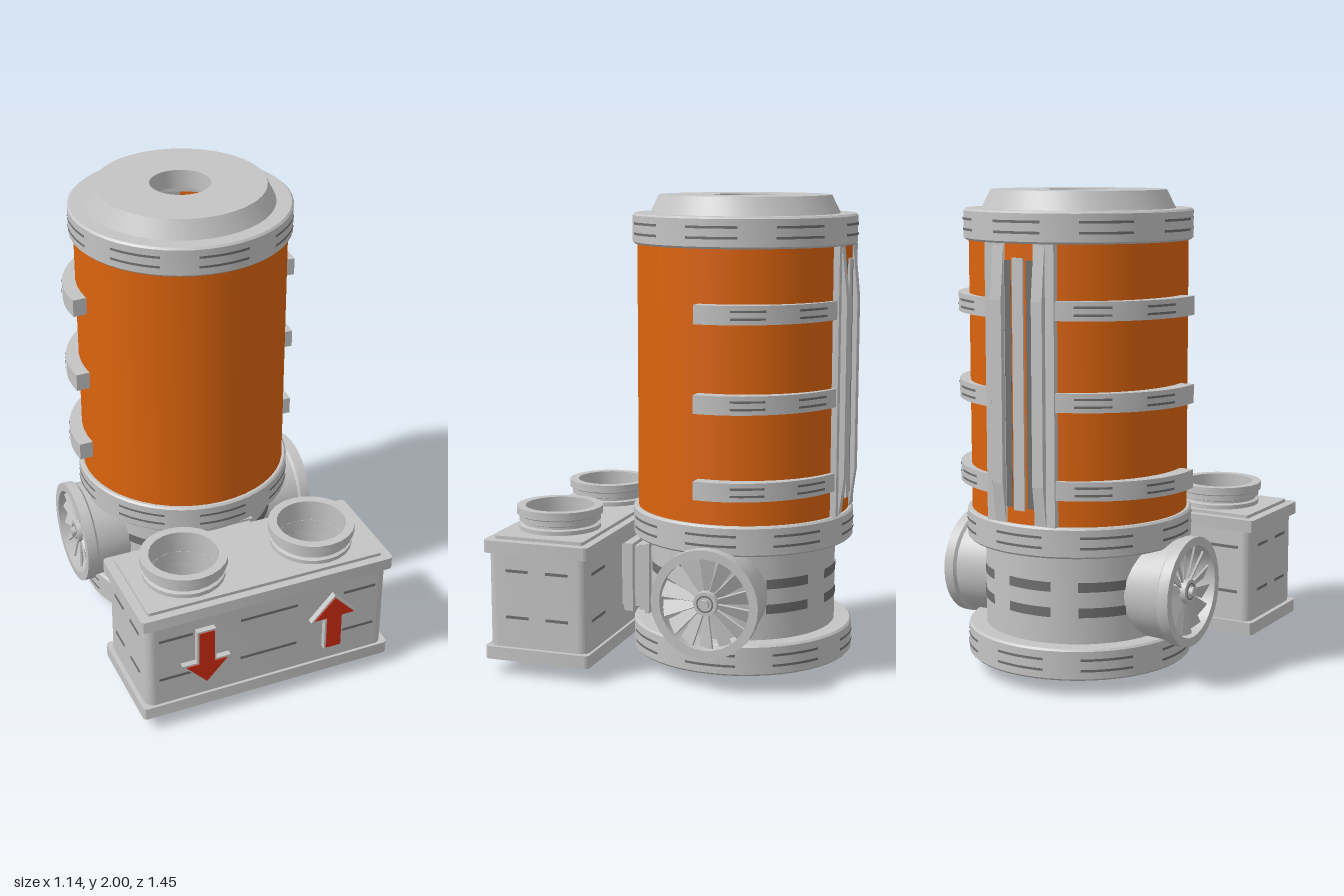
import * as THREE from 'three';
import { toCreasedNormals } from 'three/addons/utils/BufferGeometryUtils.js';

const mat = (name, color, side = THREE.FrontSide) => {
  const m = new THREE.MeshStandardMaterial({ color, side });
  m.name = name;
  return m;
};

export function createModel() {
  const grey = mat('light grey', 0xc4c4c4, THREE.DoubleSide);
  const dark = mat('dark grey', 0x707070, THREE.DoubleSide);
  const orange = mat('orange', 0xdd640e, THREE.DoubleSide);
  const red = mat('red', 0xd02c10);

  const model = new THREE.Group();
  const add = (parent, name, geo, material, x = 0, y = 0, z = 0) => {
    const m = new THREE.Mesh(geo, material);
    m.name = name;
    m.position.set(x, y, z);
    parent.add(m);
    return m;
  };
  const group = (parent, name, x = 0, y = 0, z = 0) => {
    const g = new THREE.Group();
    g.name = name;
    g.position.set(x, y, z);
    parent.add(g);
    return g;
  };
  // closed profile of [radius, height] pairs, outside going up
  const lathe = (pts, seg = 48) => toCreasedNormals(new THREE.LatheGeometry(
    [...pts, pts[0]].map(p => new THREE.Vector2(...p)), seg), 0.5);
  const hoop = (ri, ro, y0, y1, b = 0.008) =>
    lathe([[ri, y0], [ro - b, y0], [ro, y0 + b], [ro, y1 - b], [ro - b, y1], [ri, y1]]);
  // thin curved mark on a cylinder
  const mark = (parent, r, y, h, angle, len) => add(parent, 'slot',
    new THREE.CylinderGeometry(r, r, h, 10, 1, true, angle - len / 2, len), dark, 0, y, 0);

  // ---- tower ----
  const tower = group(model, 'tower', 0, 0, -0.255);
  add(tower, 'tank', new THREE.CylinderGeometry(0.45, 0.45, 1.13, 48, 1, true), orange, 0, 1.245, 0);
  add(tower, 'topRing', hoop(0.36, 0.47, 1.8, 1.925), grey);
  add(tower, 'topCap', lathe([[0.128, 1.92], [0.4, 1.92], [0.36, 2], [0.128, 2]]), grey);
  add(tower, 'upperRing', hoop(0.147, 0.47, 0.565, 0.69), grey);
  add(tower, 'column', hoop(0.375, 0.395, 0.17, 0.57, 0), grey);
  add(tower, 'lowerRing', hoop(0.385, 0.47, 0.065, 0.195), grey);
  add(tower, 'stem', hoop(0.135, 0.147, 0, 0.57, 0), grey);
  for (let i = 0; i < 8; i++) {
    const a = i * Math.PI / 4;
    for (const y of [0.108, 0.152, 0.608, 0.65, 1.843, 1.885]) mark(tower, 0.473, y, 0.01, a, 0.46);
    if (i % 4 !== 2) for (const y of [0.325, 0.43]) mark(tower, 0.398, y, 0.04, a, 0.5);
  }

  // ---- straps curving round the back half, from each side to the rear panel ----
  for (const s of [1, -1]) {
    for (const y of [0.838, 1.188, 1.545]) {
      const shape = new THREE.Shape();
      const n = 16, a0 = -0.13, a1 = 1.3;
      for (let i = 0; i <= n; i++) {
        const a = a0 + (a1 - a0) * i / n;
        shape.lineTo(0.51 * Math.cos(a), 0.462 * Math.sin(a));
      }
      for (let i = n; i >= 0; i--) {
        const a = a0 + (a1 - a0) * i / n;
        shape.lineTo(0.445 * Math.cos(a), 0.445 * Math.sin(a));
      }
      shape.curves.shift();
      const geo = new THREE.ExtrudeGeometry(shape, { depth: 0.076, bevelEnabled: false });
      geo.rotateX(-Math.PI / 2);
      const strap = group(tower, 'strap', 0, y, 0);
      add(strap, 'band', toCreasedNormals(geo, 0.5), grey, 0, -0.038, 0);
      for (const a of [Math.PI / 2 + 0.35, Math.PI / 2 + 0.95])
        for (const dy of [-0.015, 0.015])
          mark(strap, 0.513, dy, 0.009, a, 0.3).scale.z = 0.91;
      strap.scale.x = s;
    }
  }

  // ---- rear panel ----
  const panel = group(tower, 'rearPanel');
  add(panel, 'backPlate', new THREE.BoxGeometry(0.32, 1.11, 0.045), grey, 0, 1.245, -0.4225);
  const finSide = new THREE.Shape([[0.4, 0.69], [0.447, 0.69], [0.468, 0.85],
    [0.468, 1.58], [0.447, 1.79], [0.4, 1.79]].map(p => new THREE.Vector2(...p)));
  for (const s of [-1, 1]) {
    const rail = new THREE.ExtrudeGeometry(finSide, { depth: 0.05, bevelEnabled: false });
    rail.translate(0, 0, -0.025).rotateY(Math.PI / 2);
    add(panel, 'rail', rail, grey, s * 0.095, 0, 0);
    add(panel, 'railSlot', new THREE.BoxGeometry(0.03, 0.98, 0.006), dark, s * 0.05, 1.245, -0.446);
  }
  add(panel, 'centreStrip', new THREE.BoxGeometry(0.05, 1.0, 0.02), grey, 0, 1.245, -0.446);

  // ---- side fans ----
  const blade = new THREE.ExtrudeGeometry(new THREE.Shape([[-0.012, 0.04], [0.012, 0.04],
    [0.036, 0.192], [-0.036, 0.192]].map(p => new THREE.Vector2(...p))), { depth: 0.008, bevelEnabled: false });
  const housing = lathe([[0.19, 0], [0.205, 0], [0.215, 0.19], [0.227, 0.2], [0.227, 0.245], [0.19, 0.245]], 32);
  housing.rotateX(Math.PI / 2);
  for (const s of [1, -1]) {
    const fan = group(tower, 'fan', s * 0.3, 0.38, 0);
    fan.rotation.y = s * Math.PI / 2;
    add(fan, 'fanHousing', housing, grey);
    for (let i = 0; i < 14; i++) {
      const spoke = group(fan, 'spoke', 0, 0, 0.2);
      spoke.rotation.z = i * Math.PI / 7;
      add(spoke, 'blade', blade, grey).rotation.y = 0.45;
    }
    add(fan, 'hub', new THREE.CylinderGeometry(0.05, 0.055, 0.05, 20).rotateX(Math.PI / 2), grey, 0, 0, 0.205);
    add(fan, 'hubCap', new THREE.CylinderGeometry(0.02, 0.02, 0.02, 12).rotateX(Math.PI / 2), grey, 0, 0, 0.238);
    add(fan, 'hubGroove', new THREE.RingGeometry(0.03, 0.036, 20), dark, 0, 0, 0.2315);
  }

  // ---- port box ----
  const box = group(model, 'portBox', 0, 0, 0.475);
  const portX = 0.293, portR = 0.147;
  const roundRect = (w, d, r, Type = THREE.Shape) => {
    const p = new Type(), x = w / 2, y = d / 2;
    p.absarc(x - r, y - r, r, 0, Math.PI / 2);
    p.absarc(-x + r, y - r, r, Math.PI / 2, Math.PI);
    p.absarc(-x + r, -y + r, r, Math.PI, Math.PI * 1.5);
    p.absarc(x - r, -y + r, r, Math.PI * 1.5, Math.PI * 2);
    p.closePath();
    return p;
  };
  const portHoles = () => [-1, 1].map(s => new THREE.Path().absarc(s * portX, 0, portR, 0, Math.PI * 2, true));
  const plate = (name, w, d, r, y0, y1, holes) => {
    const shape = roundRect(w, d, r);
    shape.holes = holes;
    const geo = new THREE.ExtrudeGeometry(shape, { depth: y1 - y0, bevelEnabled: false, curveSegments: 8 });
    geo.rotateX(-Math.PI / 2);
    add(box, name, toCreasedNormals(geo, 0.6), grey, 0, y0, 0);
  };
  plate('bottomRim', 1.14, 0.47, 0.02, 0.065, 0.12, [roundRect(1.06, 0.4, 0.03, THREE.Path)]);
  plate('boxBody', 1.1, 0.445, 0.04, 0.1, 0.54, portHoles());
  plate('boxLid', 1.14, 0.47, 0.02, 0.525, 0.578, portHoles());
  plate('lidPanel', 1.06, 0.4, 0.01, 0.575, 0.592, portHoles());
  for (const s of [-1, 1]) {
    add(box, 'port', lathe([[portR, 0.58], [0.175, 0.58], [0.175, 0.61], [0.16, 0.615], [0.16, 0.625],
      [0.175, 0.63], [0.175, 0.652], [0.185, 0.657], [0.185, 0.69], [portR, 0.69]], 24), grey, s * portX, 0, 0);
    // slots on the long and short walls
    for (const y of [0.25, 0.45]) {
      for (const x of [-0.42, 0, 0.42])
        add(box, 'wallSlot', new THREE.BoxGeometry(x ? 0.15 : 0.26, 0.012, 0.006), dark, x, y, s * 0.223);
      for (const z of [-0.09, 0.09])
        add(box, 'wallSlot', new THREE.BoxGeometry(0.006, 0.012, 0.1), dark, s * 0.55, y, z);
    }
  }

  // ---- flow arrows on the front: one down, one up ----
  const arrow = (k, depth) => new THREE.ExtrudeGeometry(new THREE.Shape([
    [-0.034 - k, -0.13 - k], [0.034 + k, -0.13 - k], [0.034 + k, 0.03 - k], [0.092 + 2 * k, 0.03 - k],
    [0, 0.128 + k * 1.5], [-0.092 - 2 * k, 0.03 - k], [-0.034 - k, 0.03 - k],
  ].map(p => new THREE.Vector2(...p))), { depth, bevelEnabled: false });
  for (const s of [-1, 1]) {
    const sign = group(box, s < 0 ? 'downArrow' : 'upArrow', s * 0.293, 0.33, 0.222);
    sign.rotation.z = s < 0 ? Math.PI : 0;
    add(sign, 'arrowBorder', arrow(0.008, 0.026), grey);
    add(sign, 'arrowFace', arrow(0, 0.006), red, 0, 0, 0.024);
  }

  // ---- connector between box and tower ----
  const link = group(model, 'connector', 0, 0.36, 0);
  add(link, 'duct', new THREE.BoxGeometry(0.29, 0.27, 0.2), grey, 0, 0, 0.15);
  add(link, 'towerFlange', new THREE.BoxGeometry(0.35, 0.3, 0.04), grey, 0, 0, 0.21);
  add(link, 'boxFlange', new THREE.BoxGeometry(0.32, 0.29, 0.03), grey, 0, 0, 0.15);
  add(link, 'boxCollar', new THREE.BoxGeometry(0.35, 0.31, 0.02), grey, 0, 0, 0.125);

  return model;
}
